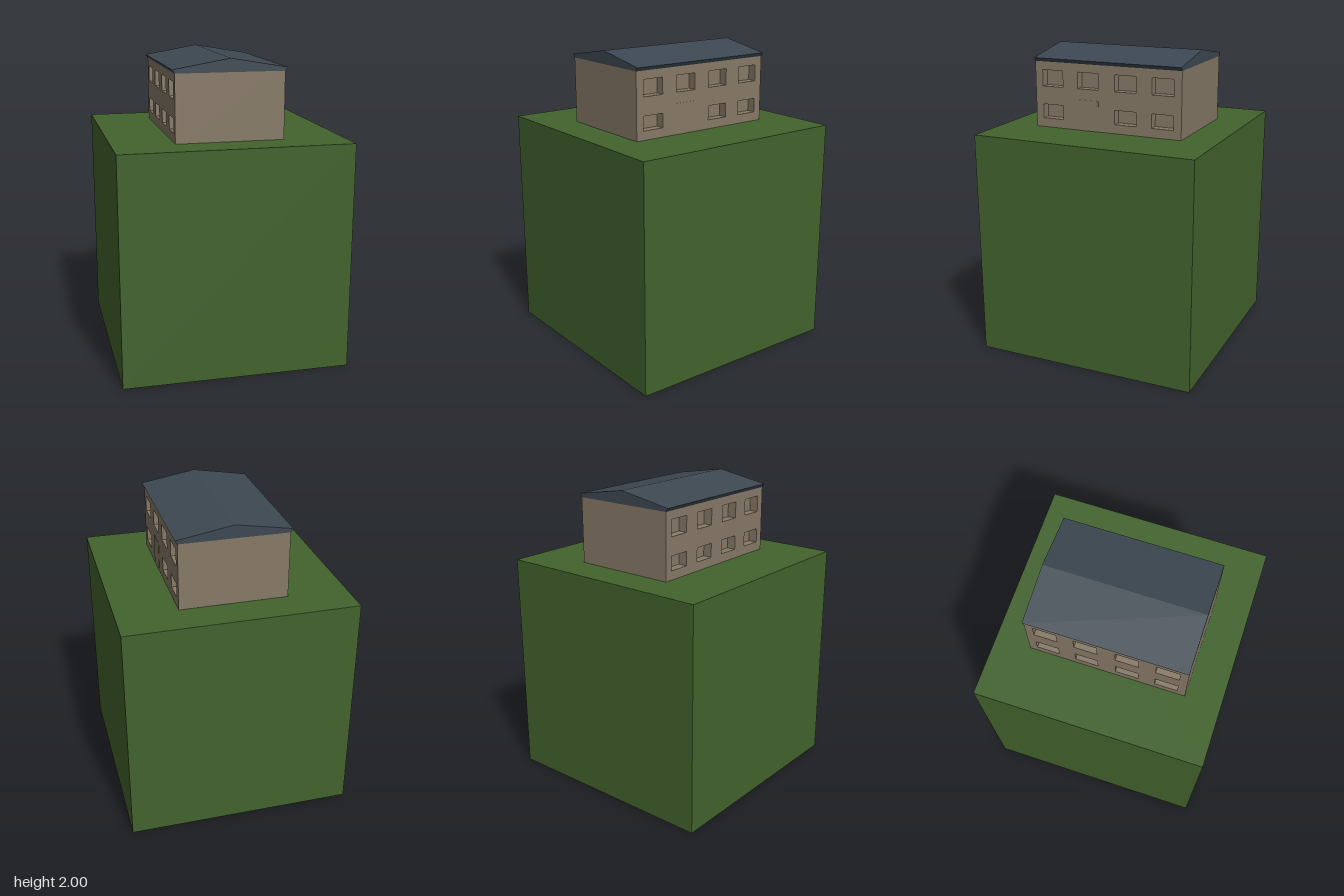
import * as THREE from 'three';

const wall = new THREE.MeshStandardMaterial({ name: 'wall stone', color: 0x877a67 });
const grass = new THREE.MeshStandardMaterial({ name: 'grass green', color: 0x42632d });
const slate = new THREE.MeshStandardMaterial({ name: 'roof slate', color: 0x3d4852 });

const GROUND = 1.485, EAVE = 1.915, HALF_X = 0.348, HALF_Z = 0.508, RECESS = 0.06;
const COLUMNS = [-0.383, -0.13, 0.13, 0.383];
const DOOR = -0.13;
const ROWS = [{ y: 1.59, h: 0.092 }, { y: 1.808, h: 0.106 }];

function mesh(name, geometry, material) {
  const m = new THREE.Mesh(geometry, material);
  m.name = name;
  return m;
}

function rectangle(path, x0, y0, x1, y1) {
  path.moveTo(x0, y0);
  path.lineTo(x1, y0);
  path.lineTo(x1, y1);
  path.lineTo(x0, y1);
  path.closePath();
  return path;
}

// Long wall with window openings; side +1 is the door side
function sideWall(side) {
  const shape = rectangle(new THREE.Shape(), -HALF_Z, GROUND, HALF_Z, EAVE);
  ROWS.forEach(({ y, h }, row) => {
    for (const u of COLUMNS) {
      if (side > 0 && row === 0 && u === DOOR) continue;
      shape.holes.push(rectangle(new THREE.Path(), u - 0.073, y - h / 2, u + 0.073, y + h / 2));
    }
  });
  const g = new THREE.ExtrudeGeometry(shape, { depth: RECESS, bevelEnabled: false });
  g.translate(0, 0, HALF_X - RECESS);
  g.rotateY(side * Math.PI / 2);
  return mesh(side > 0 ? 'leftWindowWall' : 'rightWindowWall', g, wall);
}

export function createModel() {
  const model = new THREE.Group();
  model.name = 'houseOnBlock';

  // Ground block with a bare underside
  const block = mesh('groundBlock', new THREE.BoxGeometry(1.48, GROUND, 1.48),
    [grass, grass, grass, wall, grass, grass]);
  block.position.y = GROUND / 2;
  model.add(block);

  // House core, whose sides form the backs of the window recesses
  const core = mesh('houseCore',
    new THREE.BoxGeometry(2 * (HALF_X - RECESS), EAVE - GROUND, 2 * HALF_Z), wall);
  core.position.y = (GROUND + EAVE) / 2;
  model.add(core, sideWall(1), sideWall(-1));

  // Plain door, nearly flush with the wall
  const door = mesh('door', new THREE.BoxGeometry(0.004, 0.2, 0.146), wall);
  door.position.set(HALF_X, GROUND + 0.1, -DOOR);
  model.add(door);

  // Low gabled roof with slanted eaves
  const gable = new THREE.Shape([
    [-HALF_X, EAVE], [HALF_X, EAVE], [0.363, 1.938], [0, 2], [-0.363, 1.938],
  ].map(([x, y]) => new THREE.Vector2(x, y)));
  const roof = new THREE.ExtrudeGeometry(gable, { depth: 2 * HALF_Z, bevelEnabled: false });
  roof.translate(0, 0, -HALF_Z);
  model.add(mesh('roof', roof, slate));

  return model;
}
